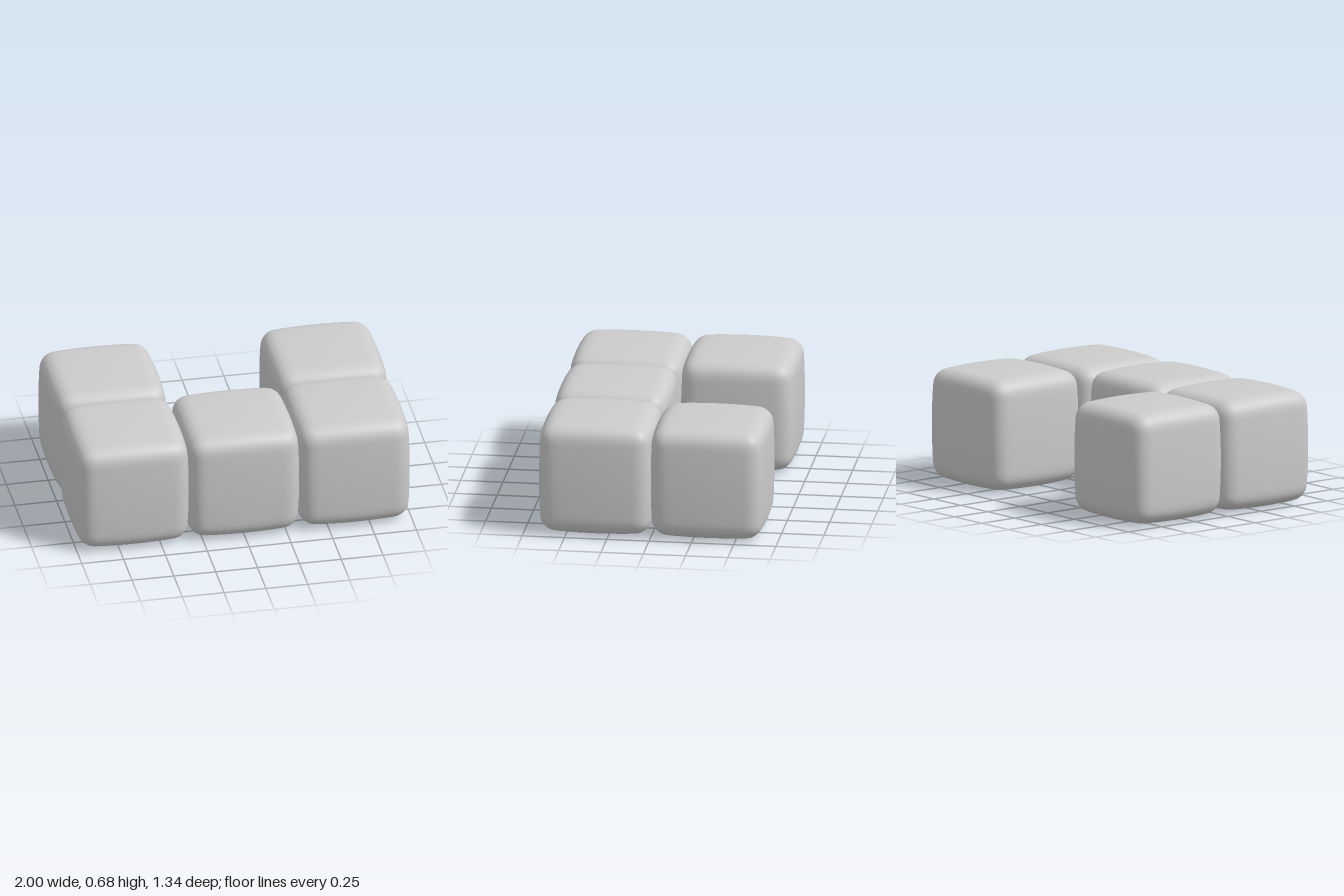
import * as THREE from 'three';
import { mergeVertices } from 'three/addons/utils/BufferGeometryUtils.js';

const HALF = 0.34;     // half size of one block
const RADIUS = 0.09;   // edge rounding
const BULGE = 0.033;   // how far faces swell out towards their middles
const PITCH = 0.66;    // spacing, so neighbours just press together

// Pillow-like cube: a subdivided box, rounded at the edges, then swollen
function softCube(segments = 24) {
  const box = new THREE.BoxGeometry(2, 2, 2, segments, segments, segments);
  box.deleteAttribute('uv');
  box.deleteAttribute('normal');
  const geometry = mergeVertices(box, 1e-4);
  const pos = geometry.attributes.position;
  const p = new THREE.Vector3();
  const core = new THREE.Vector3();
  const inner = HALF - RADIUS;
  const spread = (t) => HALF * Math.sin((t * Math.PI) / 2); // denser near the edges
  for (let i = 0; i < pos.count; i++) {
    p.fromBufferAttribute(pos, i);
    p.set(spread(p.x), spread(p.y), spread(p.z));
    core.copy(p).clampScalar(-inner, inner);
    p.sub(core).setLength(RADIUS).add(core);
    const [a, b, c] = p.toArray().map((v) => (v / HALF) ** 2);
    p.set(
      p.x * (1 - BULGE * (b + c)),
      p.y * (1 - BULGE * (a + c)),
      p.z * (1 - BULGE * (a + b))
    );
    pos.setXYZ(i, p.x, p.y, p.z);
  }
  geometry.computeVertexNormals();
  return geometry;
}

export function createModel() {
  const group = new THREE.Group();
  group.name = 'uShapedBlockPiece';
  const geometry = softCube();
  const material = new THREE.MeshStandardMaterial({ color: 0xcccccc });

  // Column and row of each block: three along the front, one behind each end
  const blocks = [
    ['frontRightBlock', -1, 0.5],
    ['frontMiddleBlock', 0, 0.5],
    ['frontLeftBlock', 1, 0.5],
    ['backRightBlock', -1, -0.5],
    ['backLeftBlock', 1, -0.5],
  ];
  for (const [name, column, row] of blocks) {
    const block = new THREE.Mesh(geometry, material);
    block.name = name;
    block.position.set(column * PITCH, HALF, row * PITCH);
    group.add(block);
  }
  return group;
}
